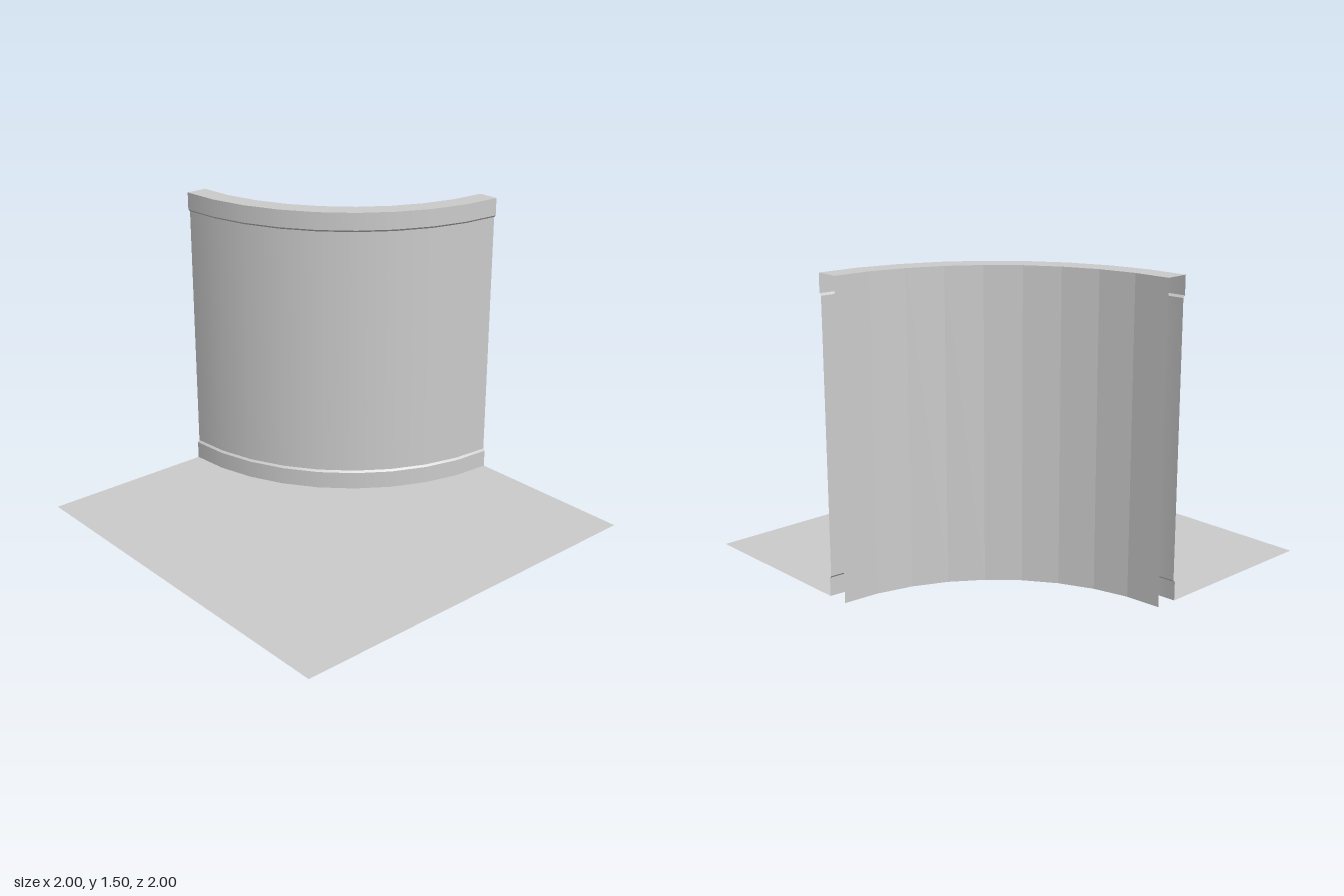
import * as THREE from 'three';

const SEGMENTS = 9;
const INNER = 1, WALL = 1.1, TRIM = 1.11, HEIGHT = 1.5;

export function createModel() {
  const group = new THREE.Group();
  const smooth = new THREE.MeshStandardMaterial({ color: 0xcccccc, side: THREE.DoubleSide });
  const faceted = smooth.clone();
  faceted.flatShading = true;

  const add = (name, geometry, material = smooth) => {
    const mesh = new THREE.Mesh(geometry, material);
    mesh.name = name;
    group.add(mesh);
  };

  // Quarter-round band about the back corner, from (r0, y0) up to (r1, y1)
  const band = (name, r0, y0, r1, y1, material) => {
    const geometry = new THREE.CylinderGeometry(r1, r0, y1 - y0, SEGMENTS, 1, true, 0, Math.PI / 2);
    geometry.translate(-1, (y0 + y1) / 2, -1);
    add(name, geometry, material);
  };

  // Outer skin with a slightly raised, chamfered trim at foot and head
  band('bottomTrim', TRIM, 0, TRIM, 0.09);
  band('bottomTrimChamfer', TRIM, 0.09, WALL, 0.1);
  band('outerWall', WALL, 0.1, WALL, 1.4);
  band('topTrimChamfer', WALL, 1.4, TRIM, 1.41);
  band('topTrim', TRIM, 1.41, TRIM, HEIGHT);

  // Concave rear skin
  band('innerWall', INNER, 0, INNER, HEIGHT, faceted);

  // Flat top joining both skins
  const cap = new THREE.RingGeometry(INNER, TRIM, SEGMENTS, 1, -Math.PI / 2, Math.PI / 2);
  cap.rotateX(-Math.PI / 2).translate(-1, HEIGHT, -1);
  add('wallTop', cap);

  // Floor sheet cut away along the foot of the wall
  const outline = [[-1, -1], [1, -1], [1, 1]].map(([x, y]) => new THREE.Vector2(x, y));
  for (let i = 0; i <= SEGMENTS; i++) {
    const a = (i / SEGMENTS) * Math.PI / 2;
    outline.push(new THREE.Vector2(-1 + TRIM * Math.cos(a), 1 - TRIM * Math.sin(a)));
  }
  const floor = new THREE.ShapeGeometry(new THREE.Shape(outline));
  floor.rotateX(-Math.PI / 2);
  add('floor', floor);

  return group;
}
